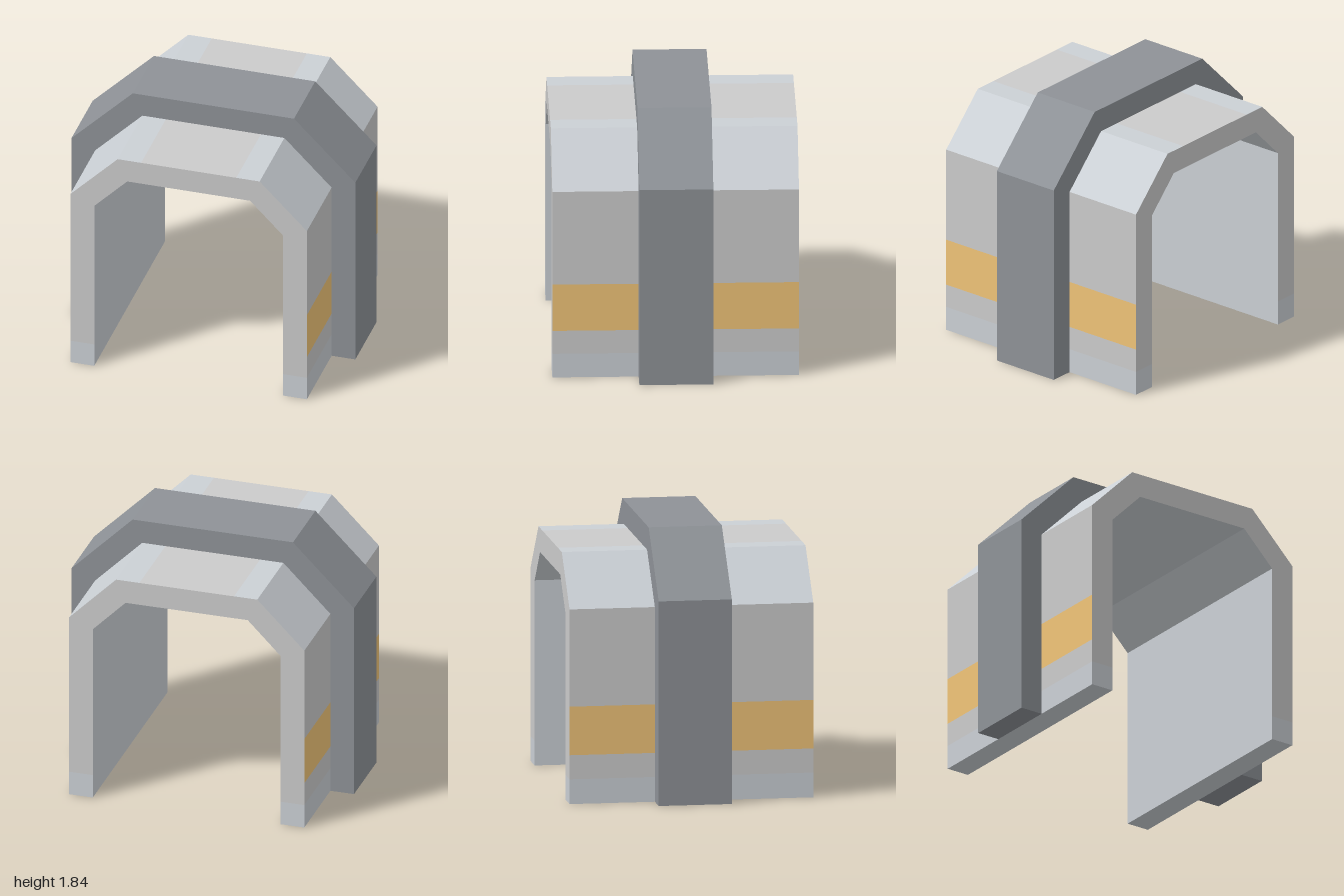
import * as THREE from 'three';

const mat = (color) => new THREE.MeshStandardMaterial({ color, flatShading: true });
const DEPTH = 0.833; // half length of the tunnel shell
const RIB = 0.25;    // half length of the central rib

// Half cross-sections (x >= 0), from the ground up to the roof corner
const INNER = [[0.665, 0], [0.665, 1.27], [0.433, 1.505]];
const OUTER = [[0.833, 0], [0.833, 1.335], [0.5, 1.67]];
const RIB_OUTER = [[1, 0], [1, 1.403], [0.568, 1.835]];
const FOOT = 0.17;

// Arch-shaped outline between two half sections, starting at height base
function archShape(outer, inner, base = 0) {
  const lift = (half) => half.map(([x, y]) => [x, Math.max(y, base)]);
  const across = (half) => [...half, ...[...half].reverse().map(([x, y]) => [-x, y])];
  const points = [...across(lift(outer)), ...across(lift(inner)).reverse()];
  return new THREE.Shape(points.map(([x, y]) => new THREE.Vector2(x, y)));
}

// Flat panel from section point a to b, running the length of the shell
function panel(name, material, a, b) {
  const geo = new THREE.BufferGeometry();
  geo.setAttribute('position', new THREE.Float32BufferAttribute([
    ...a, DEPTH, ...a, -DEPTH, ...b, -DEPTH, ...b, DEPTH], 3));
  geo.setIndex([0, 1, 2, 0, 2, 3]);
  geo.computeVertexNormals();
  const mesh = new THREE.Mesh(geo, material);
  mesh.name = name;
  return mesh;
}

export function createModel() {
  const group = new THREE.Group();
  group.name = 'archedTunnel';
  const light = mat(0xe2e4e4), grey = mat(0xcbd0d5), dark = mat(0x8e9297), yellow = mat(0xf0c478);

  const shell = new THREE.Group();
  shell.name = 'shell';
  group.add(shell);

  // Side panels, mirrored left and right
  const [, eave, corner] = OUTER;
  const [innerFoot, innerEave, innerCorner] = INNER;
  const w = eave[0];
  const sides = [
    ['footBand', grey, [w, 0], [w, FOOT]],
    ['lowerWall', light, [w, FOOT], [w, 0.335]],
    ['yellowStripe', yellow, [w, 0.335], [w, 0.668]],
    ['upperWall', light, [w, 0.668], eave],
    ['roofSlope', grey, eave, corner],
    ['roofEdgeStrip', grey, corner, [0.335, corner[1]]],
    ['innerSlope', grey, innerCorner, innerEave],
    ['innerWall', grey, innerEave, innerFoot],
    ['footUnderside', grey, innerFoot, [w, 0]],
  ];
  const flip = ([x, y]) => [-x, y];
  for (const [name, material, a, b] of sides) {
    shell.add(panel(name + 'Left', material, a, b));
    shell.add(panel(name + 'Right', material, flip(b), flip(a)));
  }

  // Roof centre and ceiling
  shell.add(panel('roofCentre', light, [0.335, corner[1]], [-0.335, corner[1]]));
  shell.add(panel('ceiling', grey, flip(innerCorner), innerCorner));

  // End faces with grey feet
  for (const [end, turn] of [['front', 0], ['back', Math.PI]]) {
    const face = new THREE.Group();
    face.name = end + 'End';
    const arch = new THREE.Mesh(new THREE.ShapeGeometry(archShape(OUTER, INNER, FOOT)), light);
    arch.name = end + 'ArchFace';
    face.add(arch);
    const thickness = w - innerFoot[0];
    for (const s of [-1, 1]) {
      const foot = new THREE.Mesh(new THREE.PlaneGeometry(thickness, FOOT), grey);
      foot.name = end + 'FootFace';
      foot.position.set(s * (w - thickness / 2), FOOT / 2, 0);
      face.add(foot);
    }
    face.rotation.y = turn;
    face.position.z = turn ? -DEPTH : DEPTH;
    shell.add(face);
  }

  // Dark rib wrapped around the middle
  const ribGeo = new THREE.ExtrudeGeometry(archShape(RIB_OUTER, OUTER), { depth: RIB * 2, bevelEnabled: false });
  ribGeo.translate(0, 0, -RIB);
  const rib = new THREE.Mesh(ribGeo, dark);
  rib.name = 'centralRib';
  group.add(rib);

  return group;
}
